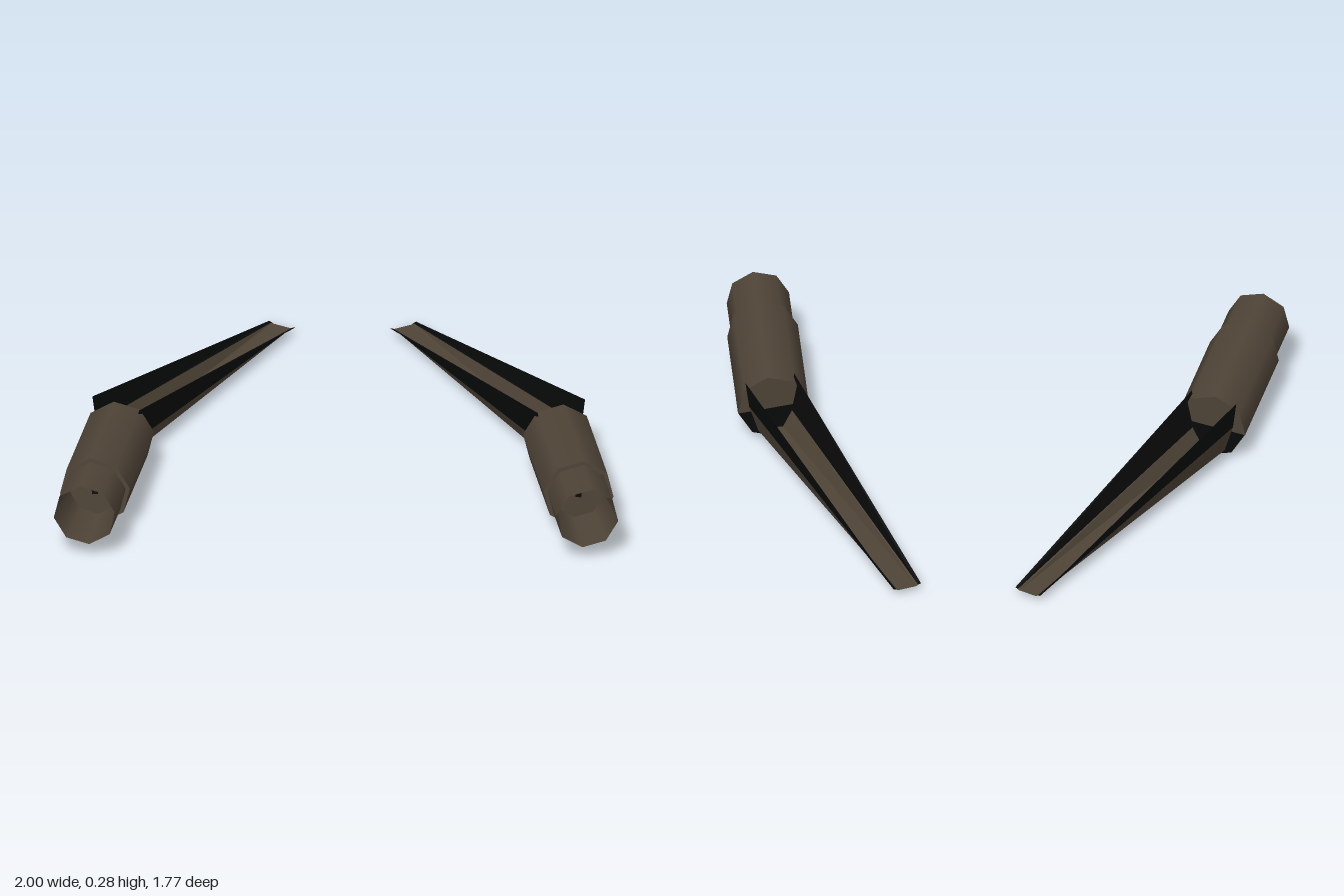
import * as THREE from 'three';

const material = (name, color) => {
  const m = new THREE.MeshStandardMaterial({ color, side: THREE.DoubleSide });
  m.name = name;
  return m;
};

export function createModel() {
  const brown = material('dull brown', 0x4f4437);
  const black = material('near black', 0x080a09);
  const V = (x, y, z) => new THREE.Vector3(x, y, z);

  const add = (parent, name, geometry, mat) => {
    const mesh = new THREE.Mesh(geometry, mat);
    mesh.name = name;
    parent.add(mesh);
    return mesh;
  };

  // Flat quads joining consecutive points of a front and a tip cross-section
  const loft = (front, tip) => {
    const pos = [];
    for (let i = 0; i < front.length - 1; i++) {
      const [a, b, c, d] = [front[i], front[i + 1], tip[i + 1], tip[i]];
      for (const p of [a, b, c, a, c, d]) pos.push(p.x, p.y, p.z);
    }
    const g = new THREE.BufferGeometry();
    g.setAttribute('position', new THREE.Float32BufferAttribute(pos, 3));
    g.computeVertexNormals();
    return g;
  };

  // Eight-sided barrel with a hollow muzzle, built along local y
  const makeBarrel = (s) => {
    const back = V(s * 0.778, 0.133, 0.17);
    const front = V(s * 0.891, 0.17, 0.862);
    const barrel = new THREE.Group();
    barrel.name = 'barrel';
    barrel.position.copy(back);
    barrel.quaternion.setFromUnitVectors(V(0, 1, 0), front.clone().sub(back).normalize());
    const length = front.distanceTo(back);
    const body = 0.49;
    const tube = length - body;

    add(barrel, 'barrelBody', new THREE.CylinderGeometry(0.127, 0.127, body, 8), brown)
      .position.y = body / 2;
    add(barrel, 'muzzle', new THREE.CylinderGeometry(0.112, 0.112, tube, 8, 1, true), brown)
      .position.y = body + tube / 2;
    add(barrel, 'muzzleLining', new THREE.CylinderGeometry(0.112, 0.09, tube, 8, 1, true), brown)
      .position.y = body + tube / 2;
    add(barrel, 'muzzleHole', new THREE.BoxGeometry(0.02, 0.006, 0.02), black)
      .position.y = body + 0.003;

    // Dark lower part of the rear cap
    const rear = add(barrel, 'rearShade', new THREE.CircleGeometry(0.125, 4, Math.PI, Math.PI), black);
    rear.rotation.x = Math.PI / 2;
    rear.scale.y = -1;
    rear.position.y = -0.003;
    return barrel;
  };

  // Tapering open trough: brown keel below, black plates above
  const makeBlade = (s) => {
    const blade = new THREE.Group();
    blade.name = 'blade';
    // Offsets run across the blade, positive towards the outside
    const at = (cx, cz, w, y) => V(s * (cx + 0.874 * w), y, cz - 0.486 * w);
    const F = (w, y, dz = 0) => at(0.79, 0.166 + dz, w, y);
    const T = (w, y) => at(0.214, -0.868, w, y);

    const keelFront = [F(-0.075, 0.12), F(-0.045, 0.05), F(0.045, 0.05), F(0.08, 0.155)];
    const keelTip = [T(-0.042, 0.03), T(-0.036, 0.026), T(0.036, 0.026), T(0.042, 0.03)];
    add(blade, 'keel', loft(keelFront, keelTip), brown);

    add(blade, 'innerPlate',
      loft([F(-0.095, 0.25), keelFront[0]], [T(-0.053, 0.033), keelTip[0]]), black);
    add(blade, 'outerPlate',
      loft([keelFront[3], F(0.095, 0.257)], [keelTip[3], T(0.053, 0.033)]), black);
    return blade;
  };

  const model = new THREE.Group();
  model.name = 'barrelPair';
  for (const s of [1, -1]) {
    const side = new THREE.Group();
    side.name = s > 0 ? 'leftUnit' : 'rightUnit';
    side.add(makeBarrel(s), makeBlade(s));
    model.add(side);
  }
  return model;
}
